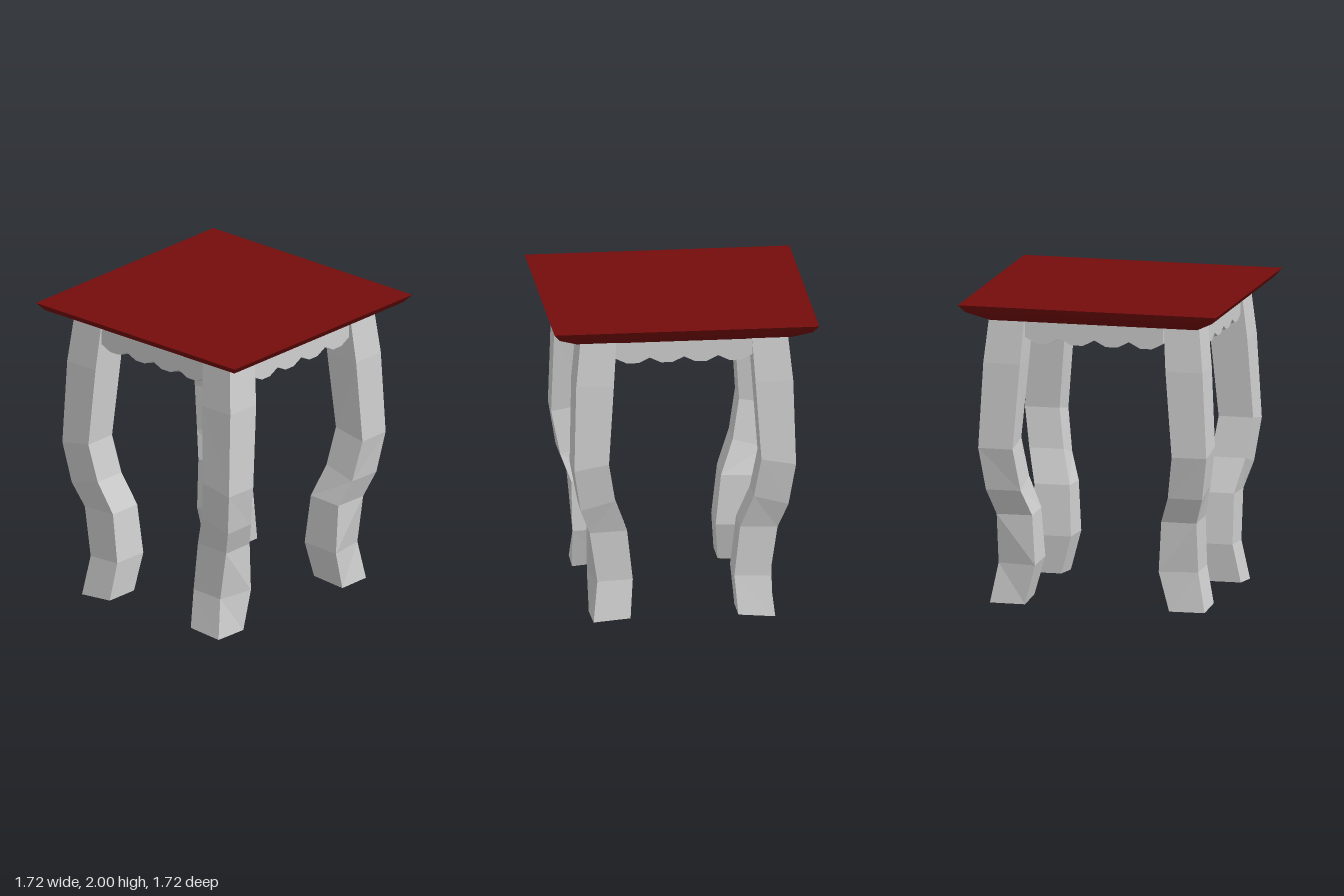
import * as THREE from 'three';

const paint = (name, color) => Object.assign(new THREE.MeshStandardMaterial({ color, flatShading: true }), { name });

// Leg rings: [yOuter, yInner, xInner, xOuter, xOuter at the outer z edge, zInner, zOuter]
const LEG = [
  [0.0, 0.02, 0.35, 0.595, 0.59, 0.48, 0.715],
  [0.26, 0.27, 0.33, 0.6, 0.56, 0.412, 0.665],
  [0.59, 0.6, 0.367, 0.605, 0.61, 0.43, 0.665],
  [0.76, 0.82, 0.45, 0.67, 0.675, 0.49, 0.72],
  [1.04, 1.08, 0.495, 0.725, 0.72, 0.53, 0.76],
  [1.6, 1.6, 0.46, 0.71, 0.705, 0.485, 0.73],
  [1.89, 1.89, 0.44, 0.68, 0.675, 0.465, 0.7],
];

// Joins four-cornered rings into a closed solid
function loft(rings, flip) {
  const pos = [];
  const quad = (a, b, c, d) => {
    const order = flip ? [a, c, b, a, d, c] : [a, b, c, a, c, d];
    order.forEach((p) => pos.push(...p));
  };
  for (let i = 0; i < rings.length - 1; i++) {
    const lo = rings[i], hi = rings[i + 1];
    for (let k = 0; k < 4; k++) {
      const n = (k + 1) % 4;
      quad(lo[k], hi[k], hi[n], lo[n]);
    }
  }
  const first = rings[0], last = rings[rings.length - 1];
  quad(first[0], first[1], first[2], first[3]);
  quad(last[3], last[2], last[1], last[0]);
  const geo = new THREE.BufferGeometry();
  geo.setAttribute('position', new THREE.Float32BufferAttribute(pos, 3));
  geo.computeVertexNormals();
  return geo;
}

function legGeometry(sx, sz) {
  const rings = LEG.map(([yo, yi, xi, xo, xoz, zi, zo]) => [
    [sx * xi, yi, sz * zi], [sx * xo, yo, sz * zi],
    [sx * xoz, yo, sz * zo], [sx * xi, yi, sz * zo],
  ]);
  return loft(rings, sx * sz < 0);
}

// Square slab with a chamfered rim
function topGeometry() {
  const rings = [[0.69, 1.88], [0.82, 1.95], [0.86, 2]].map(([r, y]) =>
    [[-r, y, -r], [r, y, -r], [r, y, r], [-r, y, r]]);
  return loft(rings, false);
}

// Scalloped board whose lower edge hangs lower on its inner side
function apronGeometry(half, low, drop, depth) {
  const shape = new THREE.Shape();
  const lobes = 4, w = (2 * half) / lobes;
  shape.moveTo(-half, 1.885);
  shape.lineTo(-half, 1.775);
  for (let i = 0; i < lobes; i++) {
    const x = -half + i * w;
    shape.lineTo(x + w * 0.33, low);
    shape.lineTo(x + w * 0.67, low);
    shape.lineTo(x + w, 1.775);
  }
  shape.lineTo(half, 1.885);
  const geo = new THREE.ExtrudeGeometry(shape, { depth, bevelEnabled: false });
  const p = geo.attributes.position;
  for (let i = 0; i < p.count; i++) {
    if (p.getZ(i) < depth / 2 && p.getY(i) < 1.85) p.setY(i, p.getY(i) - drop);
  }
  geo.computeVertexNormals();
  return geo;
}

export function createModel() {
  const model = new THREE.Group();
  model.name = 'table';
  const red = paint('dark red', 0x750b0b);
  const grey = paint('light grey', 0xcfcfcf);
  const add = (name, geo, mat) => {
    const mesh = new THREE.Mesh(geo, mat);
    mesh.name = name;
    model.add(mesh);
    return mesh;
  };

  add('tableTop', topGeometry(), red);

  // Pale underside panel between the legs
  add('underside', new THREE.BoxGeometry(1.36, 0.006, 1.36), grey).position.y = 1.878;

  for (const sx of [1, -1]) {
    for (const sz of [1, -1]) {
      add((sz > 0 ? 'front' : 'back') + (sx > 0 ? 'Left' : 'Right') + 'Leg', legGeometry(sx, sz), grey);
    }
  }

  // Aprons, one per side
  const depth = 0.12;
  ['frontApron', 'leftApron', 'backApron', 'rightApron'].forEach((name, i) => {
    const side = i % 2 === 1;
    const geo = side ? apronGeometry(0.46, 1.735, 0.01, depth) : apronGeometry(0.445, 1.74, 0.03, depth);
    geo.translate(0, 0, (side ? 0.67 : 0.69) - depth);
    add(name, geo, grey).rotation.y = (i * Math.PI) / 2;
  });

  return model;
}
